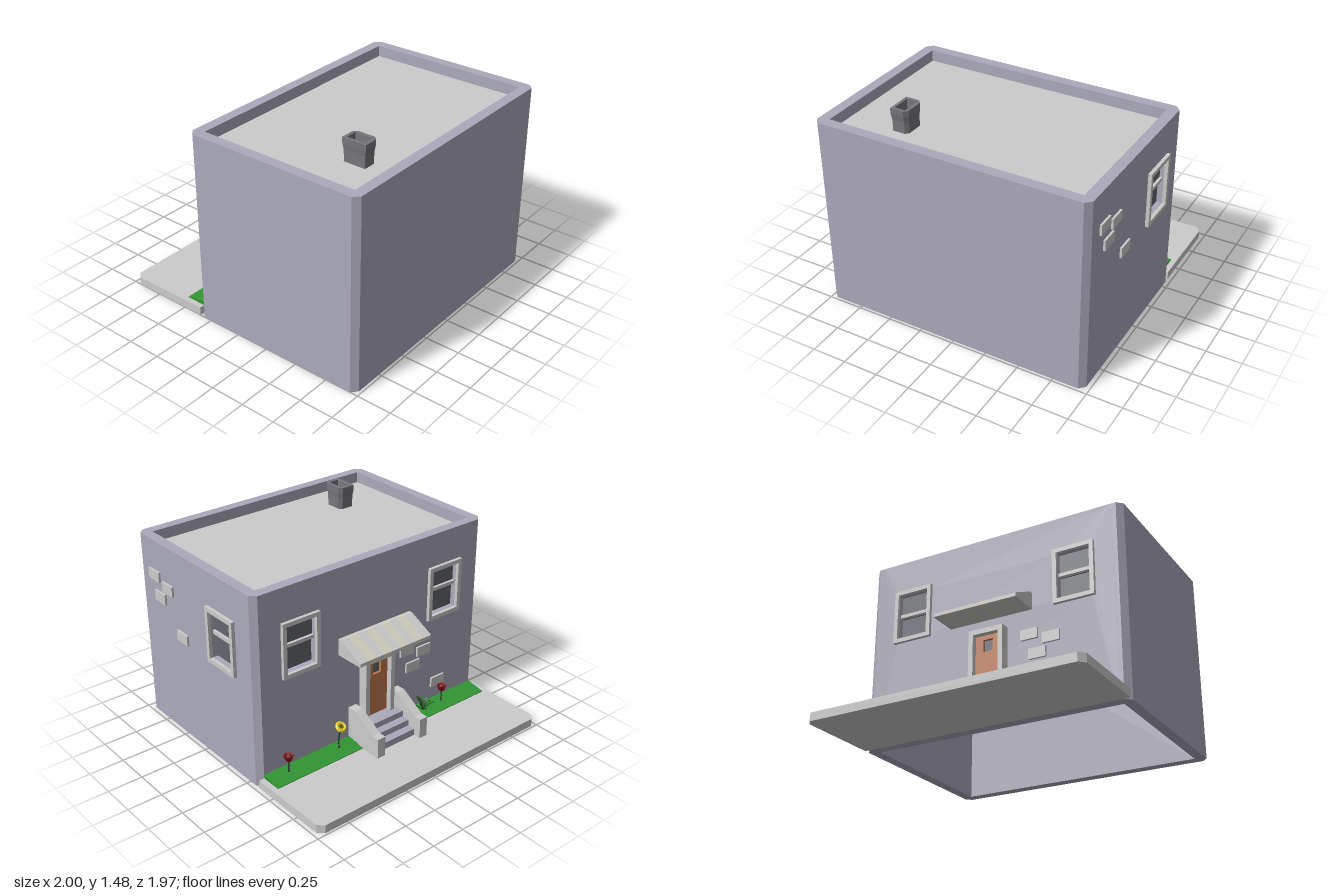
import * as THREE from 'three';

const mat = (color, extra = {}) => new THREE.MeshStandardMaterial({ color, ...extra });
const GREY = mat(0xcccccc);
const WALL = mat(0xacaabb);
const GLASS = mat(0x63666e);
const DARK = mat(0x77777c);
const DOOR = mat(0xc27a50);
const CREAM = mat(0xd2cfbe);
const GRASS = mat(0x329632);
const LEAF = mat(0x1f4f22, { flatShading: true, side: THREE.DoubleSide });
const RED = mat(0x7c1414, { flatShading: true, side: THREE.DoubleSide });
const YELLOW = mat(0xe6d22a, { flatShading: true });

const H = 1.39, T = 0.075;

function add(parent, name, geo, material, x = 0, y = 0, z = 0) {
  const m = new THREE.Mesh(geo, material);
  m.name = name;
  m.position.set(x, y, z);
  parent.add(m);
  return m;
}
const box = (p, name, m, w, h, d, x, y, z) => add(p, name, new THREE.BoxGeometry(w, h, d), m, x, y, z);
const poly = (pts) => new THREE.Shape(pts.map(([x, y]) => new THREE.Vector2(x, y)));
const rect = (cx, cy, w, h) => [
  [cx - w / 2, cy - h / 2], [cx + w / 2, cy - h / 2], [cx + w / 2, cy + h / 2], [cx - w / 2, cy + h / 2]];
function extrude(pts, depth, holes = [], steps = 1) {
  const s = poly(pts);
  holes.forEach((h) => s.holes.push(new THREE.Path(poly(h).getPoints().reverse())));
  return new THREE.ExtrudeGeometry(s, { depth, steps, bevelEnabled: false });
}
// profile given as (-z, y), extruded along x from x0 to x1
function sideExtrude(pts, x0, x1) {
  return extrude(pts, x1 - x0).rotateY(Math.PI / 2).translate(x0, 0, 0);
}

// wall facing local +z with its outer face at z = 0
function wall(parent, name, width, x, z, turn, windows = []) {
  const g = new THREE.Group();
  g.name = name;
  g.position.set(x, 0, z);
  g.rotation.y = turn;
  const holes = windows.map((cx) => rect(cx, 0.95, 0.24, 0.34));
  add(g, name + 'Panel', extrude(rect(0, H / 2, width, H), T, holes), WALL, 0, 0, -T);
  windows.forEach((cx) => addWindow(g, cx));
  parent.add(g);
  return g;
}

function addWindow(parent, cx) {
  const g = new THREE.Group();
  g.name = 'window';
  g.position.set(cx, 0.95, 0);
  add(g, 'windowFrame', extrude(rect(0, 0, 0.3, 0.4), 0.025, [rect(0, 0, 0.24, 0.34)]), GREY);
  box(g, 'upperGlass', GLASS, 0.24, 0.17, 0.01, 0, 0.085, -0.035);
  box(g, 'lowerGlass', GLASS, 0.24, 0.17, 0.01, 0, -0.085, -0.045);
  box(g, 'windowBar', GREY, 0.24, 0.025, 0.03, 0, 0.015, -0.025);
  parent.add(g);
}

function addBricks(parent, x, y) {
  for (const [dx, dy] of [[0, 0], [0.16, -0.05], [0.06, -0.145], [0.31, -0.355]])
    box(parent, 'brick', GREY, 0.125, 0.075, 0.024, x + dx, y + dy, 0.003);
}

function addStem(parent, pts) {
  const curve = new THREE.CatmullRomCurve3(pts.map((p) => new THREE.Vector3(...p)));
  add(parent, 'stem', new THREE.TubeGeometry(curve, 5, 0.005, 5), LEAF);
}

// thin pointed leaf that arches outwards
function addLeaf(parent, angle, length, height, width) {
  const geo = new THREE.PlaneGeometry(1, 1, 2, 5);
  const p = geo.attributes.position;
  for (let i = 0; i < p.count; i++) {
    const t = p.getY(i) + 0.5, side = p.getX(i) * 2;
    const half = width * Math.sin(Math.PI * (0.12 + 0.88 * t)) / 2;
    p.setXYZ(i, t * length, height * Math.sin(t * 2) - Math.abs(side) * half * 0.3, side * half);
  }
  geo.computeVertexNormals();
  add(parent, 'leaf', geo, LEAF).rotation.y = angle;
}

function plant(parent, name, x, z) {
  const g = new THREE.Group();
  g.name = name;
  g.position.set(x, 0.07, z);
  parent.add(g);
  return g;
}

export function createModel() {
  const root = new THREE.Group();
  root.name = 'townHouse';
  const CX = -0.015, CZ = 0.315;

  // walls
  wall(root, 'plainWall', 1.82, CX, 0.98, 0);
  wall(root, 'leftBlankWall', 1.18, -1, CZ, -Math.PI / 2);
  const side = wall(root, 'brickSideWall', 1.18, 0.97, CZ, Math.PI / 2, [CZ]);
  const entry = wall(root, 'entranceWall', 1.82, CX, -0.35, Math.PI, [-0.63, 0.63]);
  addBricks(side, -0.465, 1.135);
  addBricks(entry, 0.295, 0.58);

  // chamfered corner posts
  const corner = extrude([[0, 0], [T, 0], [T, 0.035], [0.035, T], [0, T]], H).rotateX(-Math.PI / 2);
  [[0.895, -0.275], [-0.925, -0.275], [-0.925, 0.905], [0.895, 0.905]].forEach(([x, z], i) => {
    add(root, 'cornerPost', corner, WALL, x, 0, z).rotation.y = i * Math.PI / 2;
  });

  // roof slab, sunk behind the parapet
  box(root, 'roof', GREY, 1.82, 0.03, 1.18, CX, 1.295, CZ);

  // hollow chimney, widening to the top
  const chim = extrude(
    [[-0.0625, -0.09], [0.0375, -0.09], [0.0625, -0.065], [0.0625, 0.065], [0.0375, 0.09], [-0.0625, 0.09]],
    0.165, [rect(-0.002, 0, 0.08, 0.135)], 4).rotateX(-Math.PI / 2);
  const cp = chim.attributes.position;
  for (let i = 0; i < cp.count; i++) {
    const k = 0.9 + 0.1 * THREE.MathUtils.smoothstep(cp.getY(i), 0.07, 0.14);
    cp.setX(i, cp.getX(i) * k);
    cp.setZ(i, cp.getZ(i) * k);
  }
  chim.computeVertexNormals();
  add(root, 'chimney', chim, DARK, -0.5175, 1.31, 0.63);

  // pavement
  add(root, 'pavement', extrude(
    [[-1, 0.35], [0.97, 0.35], [0.97, 0.945], [0.93, 0.985], [-0.96, 0.985], [-1, 0.945]], 0.06)
    .rotateX(-Math.PI / 2), GREY);

  // door with frame and small pane
  add(entry, 'doorFrame', extrude(rect(0, 0.43, 0.26, 0.48), 0.07, [rect(0, 0.415, 0.19, 0.44)]), GREY);
  add(entry, 'door', extrude(rect(0, 0.415, 0.19, 0.44), 0.03, [rect(0, 0.56, 0.07, 0.085)]), DOOR);
  box(entry, 'doorPane', GLASS, 0.07, 0.085, 0.01, 0, 0.56, 0.006);

  // steps and sloping side walls
  [[0.2, 0.48], [0.155, 0.54], [0.11, 0.6]].forEach(([top, z]) =>
    box(root, 'step', WALL, 0.33, top - 0.06, z - 0.35, CX, (top + 0.06) / 2, -(z + 0.35) / 2));
  const cheek = [[0.35, 0.06], [0.655, 0.06], [0.655, 0.21], [0.6, 0.21], [0.42, 0.32], [0.35, 0.32]];
  for (const x of [-0.24, 0.145]) add(root, 'stairSideWall', sideExtrude(cheek, x, x + 0.065), GREY);

  // striped awning
  const awning = [[0.35, 0.76], [0.57, 0.76], [0.57, 0.785], [0.375, 0.88], [0.35, 0.88]];
  const n = 9, w = 0.63 / n;
  for (let i = 0; i < n; i++)
    add(root, 'awningStripe', sideExtrude(awning, -0.33 + i * w, -0.33 + (i + 1) * w), i % 2 ? CREAM : GREY);

  // lawns
  const lawn = [[0.35, 0.055], [0.5, 0.055], [0.5, 0.064], [0.43, 0.078], [0.35, 0.088]];
  add(root, 'lawn', sideExtrude(lawn, -0.96, -0.24), GRASS);
  add(root, 'lawn', sideExtrude(lawn, 0.21, 0.93), GRASS);

  // red flowers
  const cup = [[0.004, 0.088], [0.022, 0.1], [0.036, 0.14], [0.02, 0.133], [0.001, 0.145]]
    .map(([r, y]) => new THREE.Vector2(r, y));
  for (const x of [-0.615, 0.775]) {
    const f = plant(root, 'redFlower', x, -0.415);
    addStem(f, [[0, -0.01, 0], [0.003, 0.05, 0], [0, 0.1, 0]]);
    add(f, 'redBloom', new THREE.LatheGeometry(cup, 6), RED);
    for (const a of [0.6, 3.6]) addLeaf(f, a, 0.035, 0.04, 0.012);
  }

  // yellow flower
  const y = plant(root, 'yellowFlower', 0.35, -0.41);
  addStem(y, [[-0.01, -0.01, 0.02], [-0.012, 0.08, 0.01], [0.01, 0.2, -0.035]]);
  for (const a of [1.2, 4]) addLeaf(y, a, 0.05, 0.05, 0.014);
  const bloom = new THREE.Group();
  bloom.name = 'yellowBloom';
  bloom.position.set(0.012, 0.205, -0.04);
  bloom.rotation.x = -0.7;
  add(bloom, 'petals', new THREE.TorusGeometry(0.028, 0.014, 5, 10).rotateX(Math.PI / 2), YELLOW);
  add(bloom, 'bloomCentre', new THREE.CylinderGeometry(0.018, 0.012, 0.015, 8), mat(0x6b5a1a));
  y.add(bloom);

  // leafy plant
  const fern = plant(root, 'leafyPlant', -0.43, -0.415);
  for (let i = 0; i < 8; i++)
    addLeaf(fern, i * Math.PI / 4 + 0.3, i % 2 ? 0.1 : 0.065, i % 2 ? 0.06 : 0.1, 0.026);
  return root;
}
